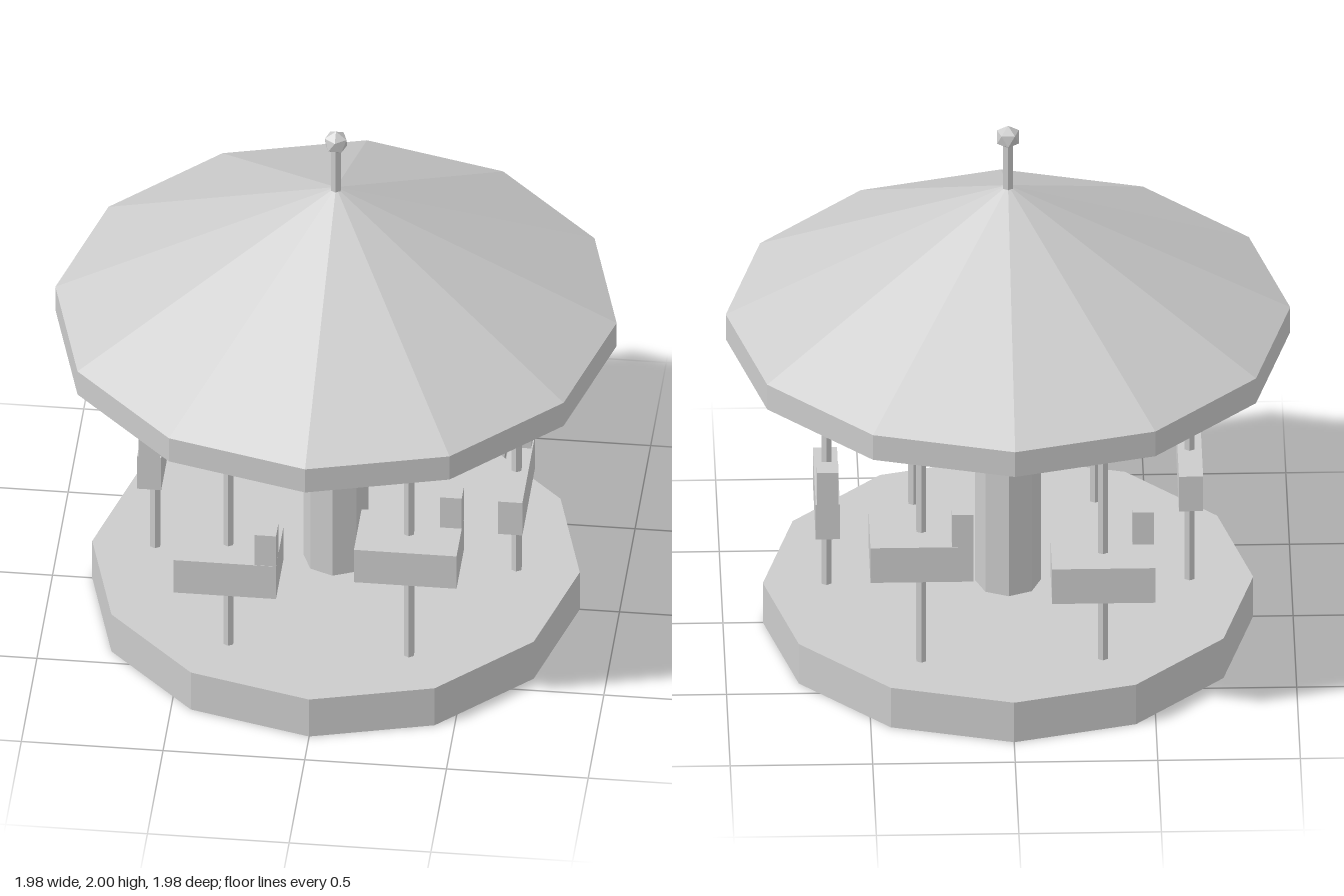
import * as THREE from 'three';

export function createModel() {
  const group = new THREE.Group();
  const grey = new THREE.MeshStandardMaterial({ color: 0xcccccc, flatShading: true, side: THREE.DoubleSide });
  grey.name = 'plainGrey';

  const add = (parent, name, geometry, x, y, z) => {
    const mesh = new THREE.Mesh(geometry, grey);
    mesh.name = name;
    mesh.position.set(x, y, z);
    parent.add(mesh);
    return mesh;
  };
  // Upright prism given by its bottom and top heights
  const prism = (parent, name, radius, bottom, top, sides, x = 0, z = 0, open = false) =>
    add(parent, name, new THREE.CylinderGeometry(radius, radius, top - bottom, sides, 1, open), x, (bottom + top) / 2, z);

  // Platform: a hollow shell, open underneath
  prism(group, 'platformWall', 0.86, 0, 0.16, 12, 0, 0, true);
  const deck = new THREE.CircleGeometry(0.86, 12).rotateX(-Math.PI / 2);
  add(group, 'platformDeck', deck, 0, 0.16, 0);

  // Central column
  prism(group, 'column', 0.115, 0.16, 1.25, 8);

  // Canopy: open cone with a hanging rim
  prism(group, 'canopyRim', 0.99, 1.15, 1.25, 12, 0, 0, true);
  add(group, 'canopyRoof', new THREE.ConeGeometry(0.99, 0.51, 12, 1, true), 0, 1.505, 0);

  // Finial: thin mast with a faceted ball standing on a vertex
  prism(group, 'finialMast', 0.02, 1.75, 1.93, 6);
  const ball = new THREE.IcosahedronGeometry(0.045, 0).rotateX(-Math.atan((1 + Math.sqrt(5)) / 2));
  add(group, 'finialBall', ball, 0, 1.955, 0);

  // Six rides at alternating heights, each on a pole with a head at its leading end
  for (let i = 0; i < 6; i++) {
    const a = (i * Math.PI) / 3;
    const x = 0.637 * Math.cos(a), z = 0.637 * Math.sin(a);
    const along = i % 3 === 0;
    const bottom = i % 2 === 0 ? 0.45 : 0.545;
    const ride = new THREE.Group();
    ride.name = 'ride' + (i + 1);
    prism(ride, 'pole', 0.02, 0.16, 1.25, 6, x, z);
    const size = along ? [0.085, 0.402] : [0.362, 0.244];
    add(ride, 'body', new THREE.BoxGeometry(size[0], 0.14, size[1]), x, bottom + 0.07, z);
    add(ride, 'head', new THREE.BoxGeometry(0.076, 0.13, 0.076),
      x + 0.165 * Math.sin(a), bottom + 0.205, z - 0.165 * Math.cos(a));
    group.add(ride);
  }
  return group;
}
